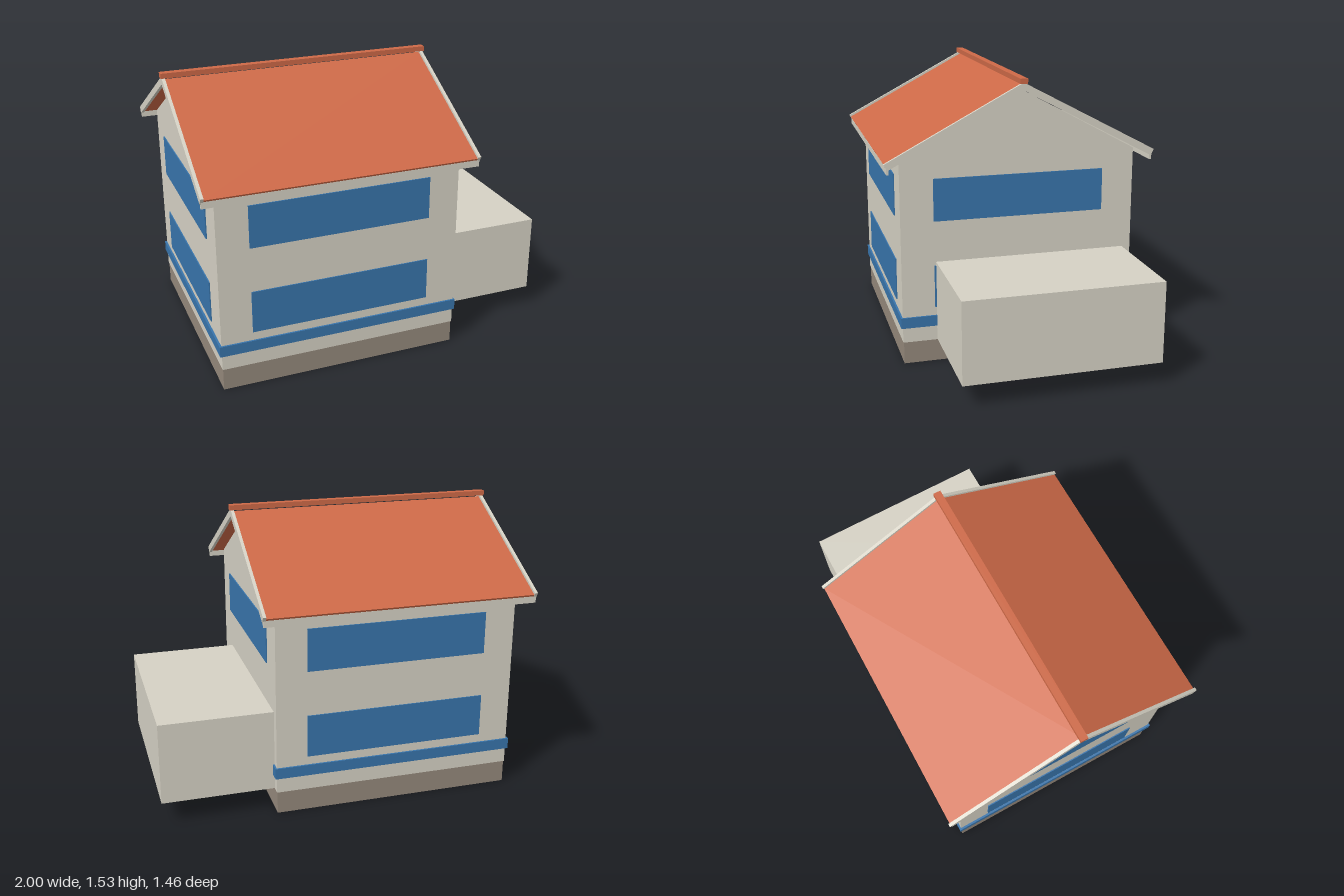
import * as THREE from 'three';

const mat = (name, color) => Object.assign(new THREE.MeshStandardMaterial({ color }), { name });

export function createModel() {
  const wall = mat('cream wall', 0xd5d1c4);
  const blue = mat('blue', 0x3874ab);
  const plinthMat = mat('brown plinth', 0x94887b);
  const tile = mat('red tile', 0xcd6947);

  const house = new THREE.Group();
  house.name = 'house';

  const add = (name, geometry, material) => {
    const mesh = new THREE.Mesh(geometry, material);
    mesh.name = name;
    house.add(mesh);
  };

  // Box given by its limits on each axis
  const box = (name, material, [x0, x1], [y0, y1], [z0, z1]) => {
    const g = new THREE.BoxGeometry(x1 - x0, y1 - y0, z1 - z0);
    g.translate((x0 + x1) / 2, (y0 + y1) / 2, (z0 + z1) / 2);
    add(name, g, material);
  };

  // Outline of [z, y] points extruded along x
  const prism = (name, material, points, x0, x1) => {
    const shape = new THREE.Shape(points.map(([z, y]) => new THREE.Vector2(-z, y)));
    const g = new THREE.ExtrudeGeometry(shape, { depth: x1 - x0, bevelEnabled: false });
    g.rotateY(Math.PI / 2).translate(x0, 0, 0);
    add(name, g, material);
  };

  // Body
  const X0 = -0.912, X1 = 0.4, Z = 0.643;
  box('plinth', plinthMat, [X0 + 0.003, X1 - 0.003], [0, 0.125], [-0.639, 0.639]);
  prism('walls', wall, [[Z, 0.122], [Z, 1.122], [0, 1.47], [-Z, 1.122], [-Z, 0.122]], X0, X1);
  box('band', blue, [-0.923, 0.409], [0.205, 0.264], [-0.653, 0.653]);
  box('annex', wall, [0.39, 1], [0.125, 0.564], [-0.595, 0.457]);

  // Windows: one strip per floor on every side
  const t = 0.006;
  for (const [y0, y1] of [[0.312, 0.543], [0.788, 1.018]]) {
    box('frontWindow', blue, [-0.744, 0.233], [y0, y1], [Z, Z + t]);
    box('backWindow', blue, [-0.744, 0.233], [y0, y1], [-Z - t, -Z]);
    box('rightWindow', blue, [X1, X1 + t], [y0, y1], [-0.466, 0.466]);
    box('leftWindow', blue, [X0 - t, X0], [y0, y1], [-0.466, 0.466]);
  }

  // Roof slab and the gable boards at its ends
  const chevron = (top, bottom, zTop, yTop, zLow, yLow) => [
    [0, top], [zTop, yTop], [zLow, yLow], [0, bottom], [-zLow, yLow], [-zTop, yTop],
  ];
  prism('roof', tile, chevron(1.497, 1.475, 0.724, 1.115, 0.714, 1.098), -0.98, 0.465);
  const board = chevron(1.511, 1.47, 0.731, 1.125, 0.713, 1.092);
  prism('leftGableBoard', wall, board, -0.994, -0.977);
  prism('rightGableBoard', wall, board, 0.462, 0.479);

  // Eaves boards and ridge
  for (const s of [-1, 1]) {
    const z = [s * 0.706, s * 0.719].sort((a, b) => a - b);
    box('eavesBoard', wall, [-0.99, 0.475], [1.07, 1.105], z);
  }
  box('ridge', tile, [-1, 0.485], [1.505, 1.532], [-0.02, 0.02]);

  return house;
}
